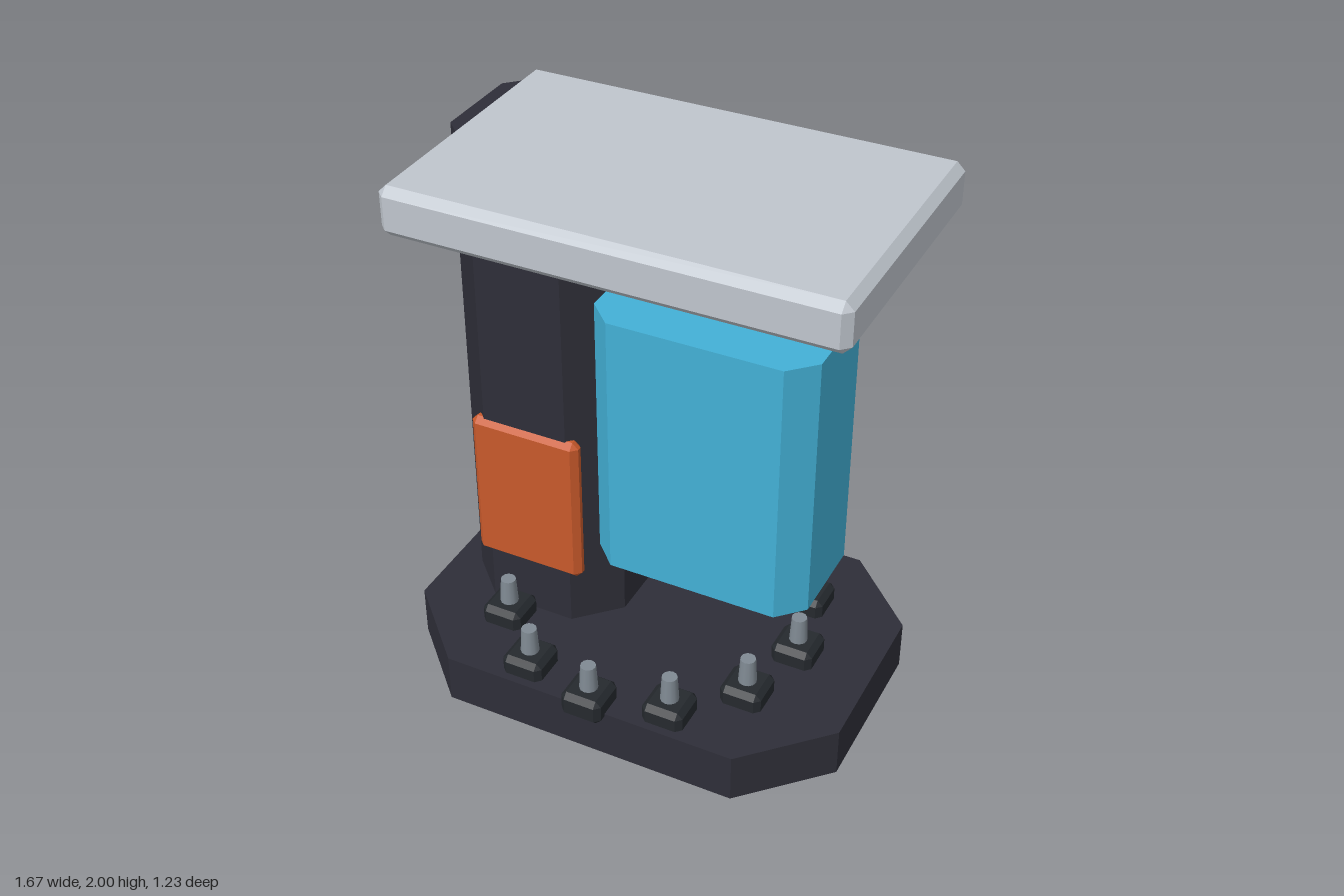
import * as THREE from 'three';
import { ConvexGeometry } from 'three/addons/geometries/ConvexGeometry.js';

const material = (name, color) => {
  const m = new THREE.MeshStandardMaterial({ color });
  m.name = name;
  return m;
};

// Upright prism: rectangle with cut corners, bottom at y = 0
function octagonPrism(w, d, h, cut) {
  const x = w / 2, z = d / 2;
  const shape = new THREE.Shape([
    [x - cut, -z], [x, -z + cut], [x, z - cut], [x - cut, z],
    [-x + cut, z], [-x, z - cut], [-x, -z + cut], [-x + cut, -z],
  ].map(([a, b]) => new THREE.Vector2(a, b)));
  return new THREE.ExtrudeGeometry(shape, { depth: h, bevelEnabled: false }).rotateX(-Math.PI / 2);
}

// Box with every edge chamfered, bottom at y = 0
function chamferBox(w, h, d, c) {
  const half = [w / 2, h / 2, d / 2];
  const points = [];
  for (const sx of [-1, 1]) for (const sy of [-1, 1]) for (const sz of [-1, 1]) {
    const s = [sx, sy, sz];
    for (let outer = 0; outer < 3; outer++) {
      points.push(new THREE.Vector3(...s.map((v, i) => v * (half[i] - (i === outer ? 0 : c)))));
    }
  }
  return new ConvexGeometry(points).translate(0, h / 2, 0);
}

export function createModel() {
  const dark = material('dark frame', 0x2e2e38);
  const black = material('black mount', 0x25292e);
  const steel = material('steel', 0x808a93);
  const grey = material('light grey', 0xbfc5cd);
  const blue = material('blue', 0x43b0d6);
  const orange = material('orange', 0xc8592b);

  const model = new THREE.Group();
  model.name = 'machine';
  const add = (name, geometry, mat, x, y, z, parent = model) => {
    const mesh = new THREE.Mesh(geometry, mat);
    mesh.name = name;
    mesh.position.set(x, y, z);
    parent.add(mesh);
    return mesh;
  };

  // Main bodies
  add('base', octagonPrism(1.635, 1.145, 0.185, 0.272), dark, -0.0175, 0, 0);
  add('column', octagonPrism(0.6, 0.605, 1.805, 0.142), dark, -0.435, 0.18, -0.105);
  add('topPlate', chamferBox(1.53, 0.17, 0.96, 0.028), grey, 0.067, 1.83, 0.07);
  add('sideBlock', octagonPrism(0.77, 0.487, 0.963, 0.086), blue, 0.25, 0.608, 0.071);

  // Panels on the front and back of the column
  const panel = chamferBox(0.412, 0.578, 0.06, 0.022);
  add('frontPanel', panel, orange, -0.435, 0.393, 0.185);
  add('backPanel', panel, orange, -0.435, 0.393, -0.397);

  // Ring of twelve bolts, each on a square foot
  const foot = chamferBox(0.152, 0.098, 0.152, 0.02);
  const pin = new THREE.CylinderGeometry(0.027, 0.034, 0.12, 12);
  for (let i = 0; i < 12; i++) {
    const a = (i / 12) * Math.PI * 2;
    const bolt = new THREE.Group();
    bolt.name = 'bolt';
    bolt.position.set(-0.02 + 0.54 * Math.cos(a), 0.155, 0.54 * Math.sin(a));
    add('boltFoot', foot, black, 0, 0, 0, bolt);
    add('boltPin', pin, steel, 0, 0.135, 0, bolt);
    model.add(bolt);
  }
  return model;
}
